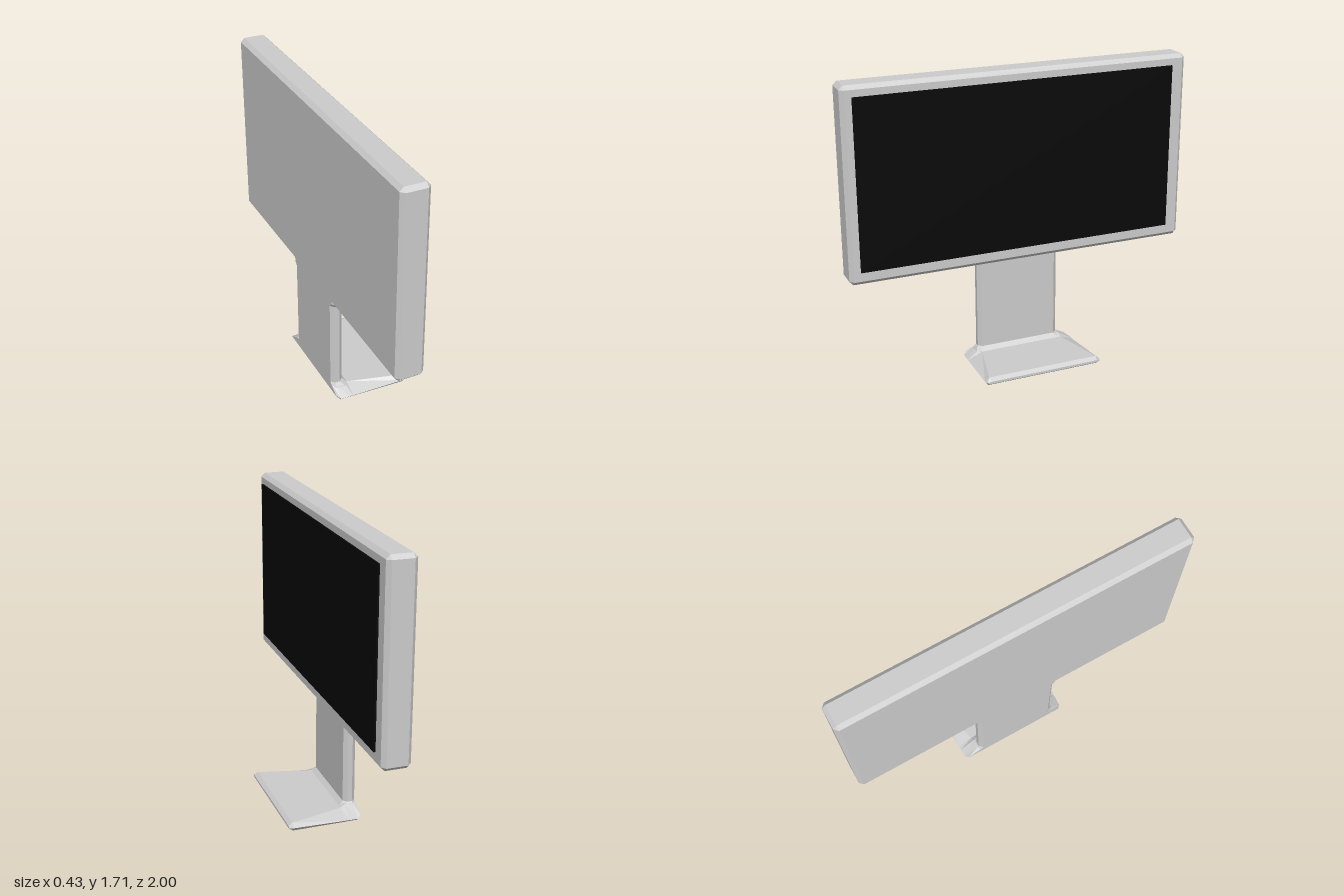
import * as THREE from 'three';

// Joins rings of points into a capped, faceted solid; rings run counterclockwise seen from the last ring
function loft(rings) {
  const n = rings[0].length, pos = [];
  const tri = (...pts) => pts.forEach((p) => pos.push(...p));
  for (let i = 0; i < rings.length - 1; i++) {
    for (let j = 0; j < n; j++) {
      const k = (j + 1) % n;
      const a = rings[i][j], b = rings[i][k], c = rings[i + 1][k], d = rings[i + 1][j];
      tri(a, b, c);
      tri(a, c, d);
    }
  }
  const first = rings[0], last = rings[rings.length - 1];
  for (let j = 1; j < n - 1; j++) {
    tri(first[0], first[j + 1], first[j]);
    tri(last[0], last[j], last[j + 1]);
  }
  const geometry = new THREE.BufferGeometry();
  geometry.setAttribute('position', new THREE.Float32BufferAttribute(pos, 3));
  geometry.computeVertexNormals();
  return geometry;
}

// Rectangle with cut corners
function cutRect(u0, u1, v0, v1, c) {
  return [
    [u1, v0 + c], [u1, v1 - c], [u1 - c, v1], [u0 + c, v1],
    [u0, v1 - c], [u0, v0 + c], [u0 + c, v0], [u1 - c, v0],
  ];
}

export function createModel() {
  const group = new THREE.Group();
  const grey = new THREE.MeshStandardMaterial({ color: 0xcccccc, flatShading: true });
  const black = new THREE.MeshStandardMaterial({ color: 0x080808 });
  const add = (name, geometry, material) => {
    const mesh = new THREE.Mesh(geometry, material);
    mesh.name = name;
    group.add(mesh);
    return mesh;
  };

  // Display housing: a slab with bevelled edges, facing +x
  const bevel = 0.022;
  const housing = [[-0.215, bevel], [-0.193, 0], [-0.077, 0], [-0.055, bevel]].map(([x, inset]) =>
    cutRect(0.615 + inset, 1.705 - inset, -1 + inset, 1 - inset, inset ? 0.001 : bevel)
      .map(([y, z]) => [x, y, z]));
  add('displayHousing', loft(housing), grey);

  // Thin dark panel, slightly proud of the housing
  add('screen', new THREE.BoxGeometry(0.015, 0.955, 1.85), black).position.set(-0.0525, 1.1675, 0.015);

  // Neck: flush at the back, flaring at both ends; [y, front x, half width]
  const midZ = -0.006;
  const neck = [
    [0.02, -0.12, 0.265], [0.05, -0.12, 0.265], [0.072, -0.145, 0.247],
    [0.592, -0.145, 0.247], [0.615, -0.12, 0.268], [0.637, -0.12, 0.268],
  ].map(([y, front, w]) =>
    cutRect(midZ - w, midZ + w, -0.215, front, 0.022).map(([z, x]) => [x, y, z]));
  add('neck', loft(neck), grey);

  // Foot: sloping sides that rise to the neck; [x, bottom y, w, rim y, w, top y, w]
  const foot = [
    [-0.215, 0.02, 0.31, 0.025, 0.315, 0.065, 0.235],
    [-0.193, 0, 0.325, 0.01, 0.335, 0.065, 0.247],
    [-0.145, 0, 0.325, 0.012, 0.337, 0.065, 0.247],
    [-0.12, 0, 0.326, 0.012, 0.337, 0.05, 0.25],
    [0.19, 0.005, 0.335, 0.028, 0.354, 0.05, 0.328],
    [0.212, 0.02, 0.33, 0.028, 0.345, 0.033, 0.326],
  ].map(([x, yb, wb, yr, wr, yt, wt]) =>
    [[yb, -wb], [yr, -wr], [yt, -wt], [yt, wt], [yr, wr], [yb, wb]]
      .map(([y, z]) => [x, y, z - 0.017]));
  add('foot', loft(foot), grey);

  return group;
}
